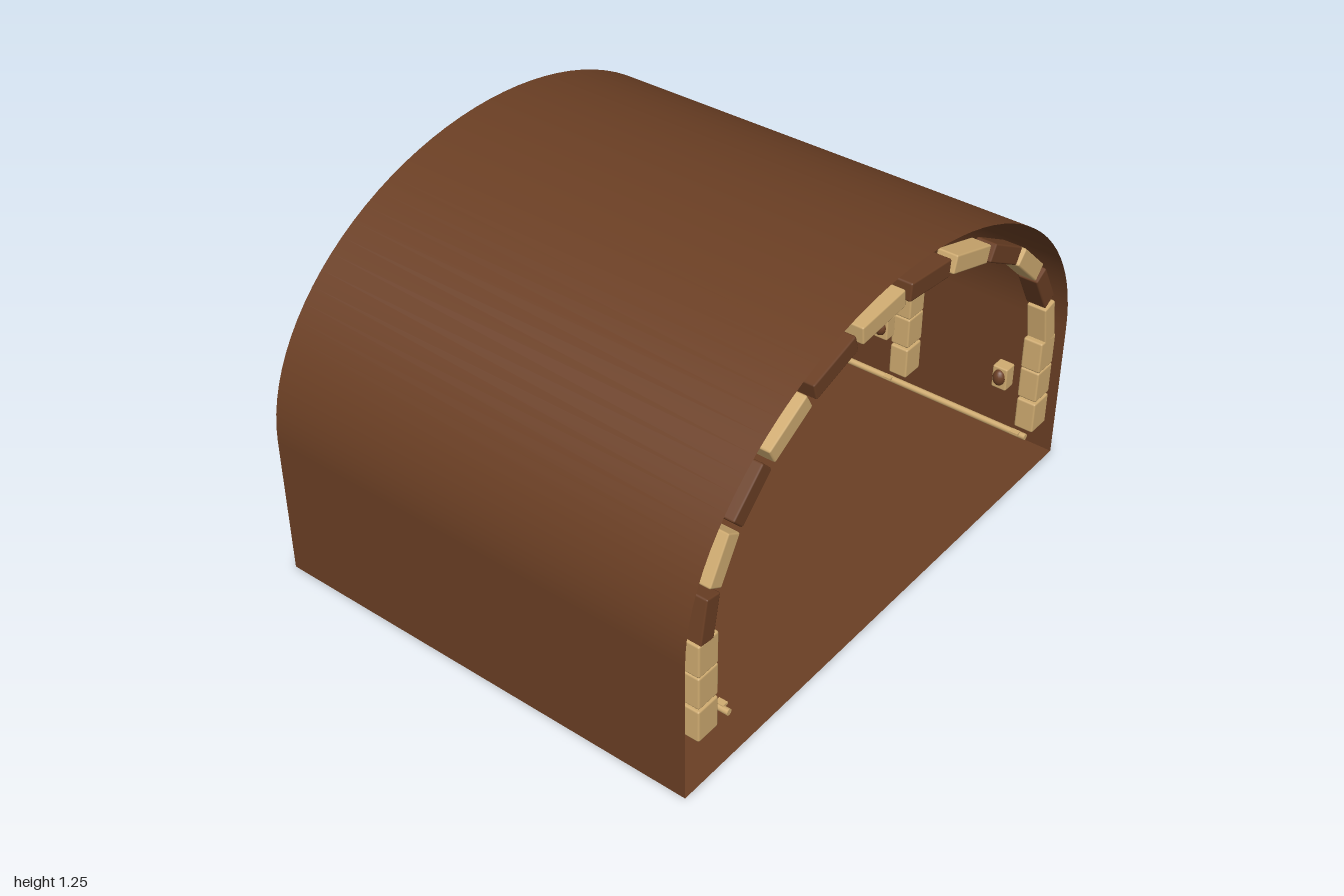
import * as THREE from 'three';
import { RoundedBoxGeometry } from 'three/addons/geometries/RoundedBoxGeometry.js';

const HALF = 0.785;       // half length of the tunnel
const SPRING = 0.5;       // height where the vault starts

export function createModel() {
  const brown = new THREE.MeshStandardMaterial({ color: 0x6b3f24, side: THREE.DoubleSide });
  brown.name = 'brown';
  const tan = new THREE.MeshStandardMaterial({ color: 0xd0ac71, side: THREE.DoubleSide });
  tan.name = 'tan';

  const model = new THREE.Group();
  model.name = 'tunnel';

  const add = (parent, name, geometry, material, x = 0, y = 0, z = 0) => {
    const mesh = new THREE.Mesh(geometry, material);
    mesh.name = name;
    mesh.position.set(x, y, z);
    parent.add(mesh);
    return mesh;
  };

  // Thin vaulted shell, open at both ends
  const steps = 48;
  const pos = [], nor = [], idx = [];
  const ring = [[1, 0, 1, 0]];
  for (let i = 0; i <= steps; i++) {
    const t = (i / steps) * Math.PI;
    const n = new THREE.Vector2(Math.cos(t) * 0.745, Math.sin(t)).normalize();
    ring.push([Math.cos(t), SPRING + 0.745 * Math.sin(t), n.x, n.y]);
  }
  ring.push([-1, 0, -1, 0]);
  ring.forEach(([x, y, nx, ny], i) => {
    for (const z of [HALF, -HALF]) {
      pos.push(x, y, z);
      nor.push(nx, ny, 0);
    }
    if (i) {
      const a = (i - 1) * 2;
      idx.push(a, a + 1, a + 2, a + 1, a + 3, a + 2);
    }
  });
  const vault = new THREE.BufferGeometry();
  vault.setAttribute('position', new THREE.Float32BufferAttribute(pos, 3));
  vault.setAttribute('normal', new THREE.Float32BufferAttribute(nor, 3));
  vault.setIndex(idx);
  add(model, 'vaultShell', vault, brown);

  // Floor sheet, facing down
  add(model, 'floor', new THREE.PlaneGeometry(2, HALF * 2).rotateX(Math.PI / 2), brown);

  // Flat rim closing the back edge
  const outline = (Target, a, b, bottom) => {
    const s = new Target();
    s.moveTo(-a, bottom);
    s.lineTo(a, bottom);
    s.lineTo(a, SPRING);
    s.absellipse(0, SPRING, a, b, 0, Math.PI, false);
    s.lineTo(-a, bottom);
    return s;
  };
  const rim = outline(THREE.Shape, 1, 0.745, 0);
  rim.holes.push(outline(THREE.Path, 0.89, 0.635, 0.115));
  add(model, 'backRim', new THREE.ShapeGeometry(rim, 24).rotateY(Math.PI), tan, 0, 0, -HALF);

  // Supporting arches: stacked posts and alternating vault blocks
  const postGeo = new RoundedBoxGeometry(0.088, 0.116, 0.07, 1, 0.007);
  const A = 0.895, B = 0.648, count = 12;
  for (const z of [0.748, 0.25, -0.25, -0.748]) {
    const arch = new THREE.Group();
    arch.name = 'arch';
    arch.position.z = z;
    model.add(arch);
    for (const side of [-1, 1]) {
      for (const y of [0.221, 0.345, 0.462]) add(arch, 'postBlock', postGeo, tan, side * 0.893, y, 0);
    }
    for (let i = 0; i < count; i++) {
      const t = ((i + 0.5) / count) * Math.PI;
      const tx = -A * Math.sin(t), ty = B * Math.cos(t);
      const length = Math.hypot(tx, ty) * (Math.PI / count) * 0.89;
      const block = add(arch, 'archBlock', new RoundedBoxGeometry(length, 0.06, 0.07, 1, 0.006),
        i % 2 ? brown : tan, A * Math.cos(t), SPRING + B * Math.sin(t), 0);
      block.rotation.z = Math.atan2(ty, tx);
    }
  }

  // Wall lamps and long rails on both sides
  const bracketGeo = new RoundedBoxGeometry(0.05, 0.085, 0.055, 1, 0.006);
  const domeGeo = new THREE.SphereGeometry(1, 16, 10).scale(0.022, 0.03, 0.022);
  const railGeo = new THREE.CylinderGeometry(0.011, 0.011, HALF * 2, 10).rotateX(Math.PI / 2);
  const clipGeo = new THREE.BoxGeometry(0.022, 0.008, 0.03);
  for (const side of [-1, 1]) {
    for (const z of [0.665, 0.2, -0.27, -0.69]) {
      const lamp = new THREE.Group();
      lamp.name = 'wallLamp';
      lamp.position.set(side * 0.828, 0.362, z);
      model.add(lamp);
      add(lamp, 'lampBracket', bracketGeo, tan);
      add(lamp, 'lampDome', domeGeo, brown, -side * 0.024, 0.004, 0);
    }
    add(model, 'rail', railGeo, tan, side * 0.802, 0.178, 0);
    for (const z of [0.75, 0.25, -0.25, -0.75]) add(model, 'railClip', clipGeo, tan, side * 0.793, 0.187, z);
  }

  return model;
}
